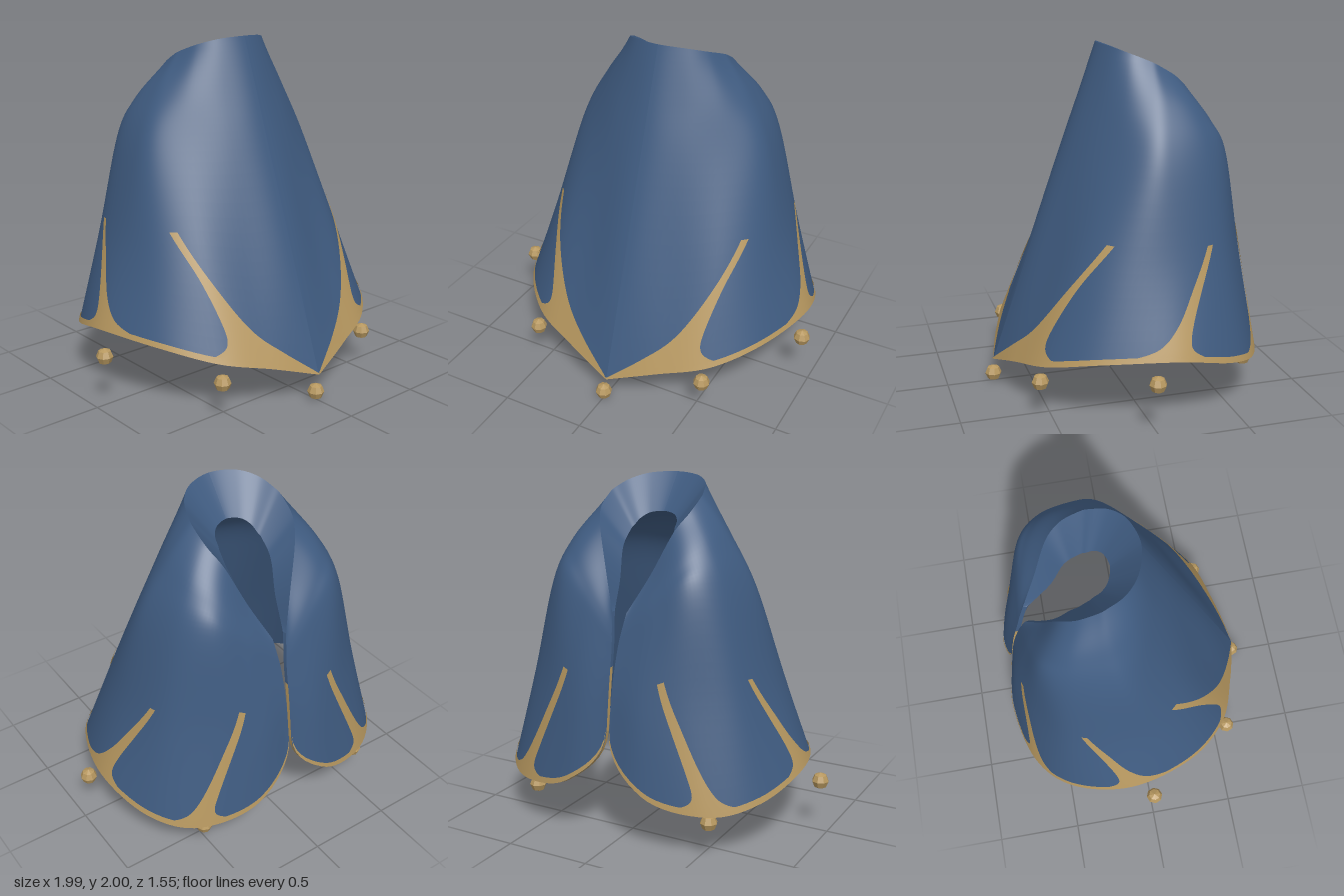
import * as THREE from 'three';

const blue = new THREE.MeshStandardMaterial({ color: 0x3f5b80, side: THREE.DoubleSide });
blue.name = 'blueCloth';
const gold = new THREE.MeshStandardMaterial({ color: 0xb6975f, side: THREE.DoubleSide });
gold.name = 'goldTrim';

// Cross-sections of the left half, front centre to back slit: collar, shoulder, upper, lower, hem
const columns = [
  [[0, 2, .08], [0, 1.7, .185], [0, 1.4, .29], [0, .8, .5], [0, .145, .725]],
  [[.15, 1.99, .04], [.19, 1.71, .125], [.22, 1.4, .23], [.26, .8, .43], [.28, .235, .645]],
  [[.24, 1.96, -.04], [.34, 1.71, .02], [.43, 1.4, .1], [.52, .85, .31], [.57, .31, .525]],
  [[.28, 1.92, -.14], [.43, 1.69, -.1], [.57, 1.4, -.05], [.69, .85, .11], [.79, .385, .27]],
  [[.29, 1.89, -.2], [.45, 1.68, -.21], [.59, 1.4, -.2], [.74, .85, -.16], [.9, .4, -.12]],
  [[.28, 1.82, -.31], [.43, 1.64, -.38], [.54, 1.4, -.42], [.67, .85, -.45], [.81, .315, -.48]],
  [[.23, 1.72, -.4], [.34, 1.57, -.495], [.41, 1.4, -.555], [.47, .85, -.62], [.59, .27, -.69]],
  [[.14, 1.5, -.49], [.2, 1.4, -.565], [.23, 1.25, -.615], [.22, .8, -.71], [.24, .35, -.775]],
  [[.045, 1.3, -.585], [.03, 1.2, -.615], [.018, 1.1, -.64], [.01, .9, -.685], [.008, .66, -.72]],
].map(col => col.map(p => new THREE.Vector3(...p)));
const LAST = columns.length - 1;
const ROWS = columns[0].length;
const HEM = ROWS - 1;

const extend = (a, b) => a.clone().multiplyScalar(2).sub(b);

// Catmull-Rom blend of four points
function blend(a, b, c, d, t) {
  const t2 = t * t, t3 = t2 * t;
  return new THREE.Vector3()
    .addScaledVector(a, (-t3 + 2 * t2 - t) / 2)
    .addScaledVector(b, (3 * t3 - 5 * t2 + 2) / 2)
    .addScaledVector(c, (-3 * t3 + 4 * t2 + t) / 2)
    .addScaledVector(d, (t3 - t2) / 2);
}

function columnPoint(i, k) {
  // the hem turns up into the slit with a rounded corner
  if (i > LAST) return k < HEM ? extend(columns[LAST][k], columns[LAST - 1][k]) : new THREE.Vector3(.2, 1.35, -.68);
  if (i >= 0) return columns[i][k];
  const p = columns[1][k];
  // smooth across the front, pointed at the hem
  return k < HEM ? new THREE.Vector3(-p.x, p.y, p.z) : extend(columns[0][k], p);
}

// Outer cloth: u runs 0 (front) to 8 (slit), v runs 0 (collar) to 1 (hem)
function outer(u, v) {
  const i = Math.min(Math.floor(u), LAST - 1);
  const q = columns[0].map((_, k) => blend(columnPoint(i - 1, k), columnPoint(i, k),
    columnPoint(i + 1, k), columnPoint(i + 2, k), u - i));
  const pts = [extend(q[0], q[1]), ...q, extend(q[HEM], q[HEM - 1])];
  const j = Math.min(Math.floor(v * HEM), HEM - 1);
  return blend(pts[j], pts[j + 1], pts[j + 2], pts[j + 3], v * HEM - j);
}

// Lining: thick at the collar, thin towards the hem and the slit
function inner(u, v) {
  const p = outer(u, v);
  const thick = .14 * (1 - (u / LAST) ** 4) * Math.max(0, 1 - v / .5) ** 2;
  const dir = new THREE.Vector3(-p.x, 0, -.25 - p.z).normalize();
  p.addScaledVector(dir, thick + .024);
  p.x = Math.max(p.x, 0);
  p.y -= thick * 1.5;
  return p;
}

// Point lifted slightly off the outer cloth
function lifted(u, v) {
  const e = .01;
  const du = outer(Math.min(u + e, LAST), v).sub(outer(Math.max(u - e, 0), v));
  const dv = outer(u, Math.min(v + e, 1)).sub(outer(u, Math.max(v - e, 0)));
  return outer(u, v).addScaledVector(dv.cross(du).normalize(), .006);
}

// Grid surface from a rule fn(a, b) with a and b in 0..1
function sheet(fn, na, nb, material, name, side) {
  const pos = [], index = [];
  for (let i = 0; i <= na; i++) for (let j = 0; j <= nb; j++) {
    const p = fn(i / na, j / nb);
    pos.push(p.x * side, p.y, p.z);
    if (i < na && j < nb) {
      const a = i * (nb + 1) + j, b = a + nb + 1;
      if (side > 0) index.push(a, b, a + 1, b, b + 1, a + 1);
      else index.push(a, a + 1, b, b, a + 1, b + 1);
    }
  }
  const g = new THREE.BufferGeometry();
  g.setAttribute('position', new THREE.Float32BufferAttribute(pos, 3));
  g.setIndex(index);
  g.computeVertexNormals();
  const mesh = new THREE.Mesh(g, material);
  mesh.name = name;
  return mesh;
}

// Trim ribs: left and right edges in (u, v), from the blunt tip to the flared foot
const ribs = [
  ['frontRib', [[2.41, .692], [1.9, .797], [1.28, .91], [.7, .959], [.02, .9955]],
    [[2.59, .692], [2.1, .797], [1.81, .902], [1.8, .955], [2.1, .989]]],
  ['sideRib', [[4.62, .7], [4.28, .797], [4, .895], [3.72, .9625], [3.35, .989]],
    [[4.74, .7], [4.45, .797], [4.24, .895], [4.2, .9625], [4.45, .989]]],
  ['backRib', [[6.58, .677], [6.28, .79], [6, .902], [5.75, .9625], [5.4, .989]],
    [[6.73, .677], [6.46, .79], [6.25, .902], [6.2, .9625], [6.45, .989]]],
];

function edgeCurve(points) {
  return new THREE.SplineCurve(points.map(p => new THREE.Vector2(...p)));
}

export function createModel() {
  const model = new THREE.Group();
  model.name = 'beadedCape';
  const cape = new THREE.Group();
  cape.name = 'cape';
  cape.position.x = .02;
  model.add(cape);

  for (const side of [1, -1]) {
    const half = new THREE.Group();
    half.name = side > 0 ? 'leftHalf' : 'rightHalf';
    cape.add(half);
    const add = (fn, na, nb, mat, name) => half.add(sheet(fn, na, nb, mat, name, side));

    // Cloth and lining
    add((v, u) => outer(u * LAST, v), 32, 64, blue, 'outerCloth');
    add((u, v) => inner(u * LAST, v), 64, 32, blue, 'lining');

    // Edges joining cloth and lining
    const rim = (u, v, t) => outer(u, v).lerp(inner(u, v), t);
    add((u, t) => rim(u * LAST, 0, t), 64, 1, blue, 'collarLip');
    add((u, t) => rim(u * LAST, 1, t), 64, 1, gold, 'hemEdge');
    add((v, t) => rim(LAST, v * .625, t), 20, 1, blue, 'upperSlitEdge');
    add((v, t) => rim(LAST, .625 + v * .375, t), 12, 1, gold, 'lowerSlitEdge');

    // Gold band along the hem, narrowing to the front point
    add((v, u) => {
      const width = .004 + .012 * Math.min(1, u * LAST);
      return lifted(u * LAST, 1 - width * (1 - v));
    }, 2, 64, gold, 'hemBand');

    // Gold ribs with flared feet
    for (const [name, left, right] of ribs) {
      const l = edgeCurve(left), r = edgeCurve(right);
      add((s, w) => {
        const p = l.getPoint(s).lerp(r.getPoint(s), w);
        return lifted(p.x, Math.min(p.y, 1));
      }, 28, 12, gold, name);
    }
  }

  // Beads hanging below the hem
  const beadShape = new THREE.SphereGeometry(.049, 8, 4).toNonIndexed();
  beadShape.computeVertexNormals();
  const addBead = (x, y, z, name) => {
    const bead = new THREE.Mesh(beadShape, gold);
    bead.name = name;
    bead.position.set(x, y, z);
    model.add(bead);
  };
  addBead(0, .05, .725, 'frontBead');
  for (const s of [1, -1]) {
    addBead(s * .555, .215, .56, 'frontSideBead');
    addBead(s * .945, .3, .01, 'sideBead');
    addBead(s * .56, .22, -.64, 'backBead');
  }
  return model;
}
